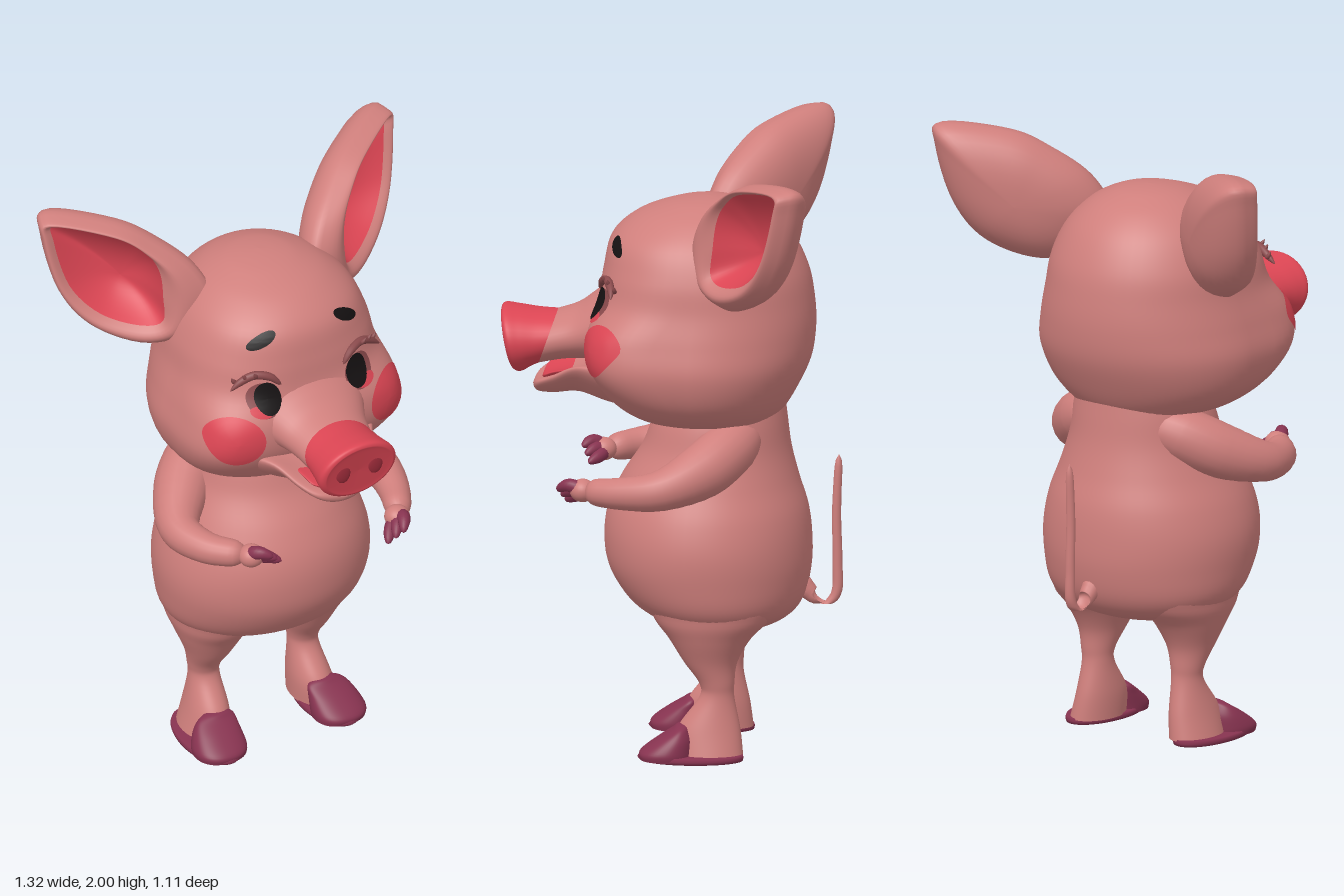
import * as THREE from 'three';

const mat = (name, color) => Object.assign(new THREE.MeshStandardMaterial({ color }), { name });
const V = (x, y, z) => new THREE.Vector3(x, y, z);

// Catmull-Rom through rows of numbers, `n` steps per span
function spline(keys, n = 6) {
  const rows = [], at = i => keys[Math.min(Math.max(i, 0), keys.length - 1)];
  for (let i = 0; i < keys.length - 1; i++)
    for (let k = 0; k < n; k++) {
      const t = k / n;
      rows.push(keys[0].map((_, c) => {
        const a = at(i - 1)[c], b = at(i)[c], d = at(i + 1)[c], e = at(i + 2)[c];
        return b + 0.5 * t * (d - a + t * (2 * a - 5 * b + 4 * d - e + t * (3 * (b - d) + e - a)));
      }));
    }
  rows.push(keys[keys.length - 1]);
  return rows;
}

// Smooth skin over closed rings of equal size
function loft(rings) {
  const n = rings[0].length, pos = [], idx = [];
  for (const r of rings) for (const p of r) pos.push(p.x, p.y, p.z);
  for (let i = 0; i < rings.length - 1; i++)
    for (let j = 0; j < n; j++) {
      const a = i * n + j, b = i * n + (j + 1) % n;
      idx.push(a, b, a + n, b, b + n, a + n);
    }
  const g = new THREE.BufferGeometry();
  g.setAttribute('position', new THREE.Float32BufferAttribute(pos, 3));
  g.setIndex(idx);
  g.computeVertexNormals();
  return g;
}

const loop = (n, f) => Array.from({ length: n }, (_, j) => f(j / n * Math.PI * 2));
const spow = (v, e) => Math.sign(v) * Math.abs(v) ** e;

// Horizontal rings from rows [y, front, back, halfWidth, centreX, frontSquareness]
const upright = rows => loft(rows.map(([y, f, b, rx, cx = 0, sq = 2]) => loop(56, t => {
  const m = b + (f - b) * 0.52, s = Math.sin(t), c = Math.cos(t), e = c > 0 ? 2 / sq : 1;
  return V(cx + Math.max(rx, 0) * spow(s, e), y, m + (c > 0 ? f - m : m - b) * spow(c, e));
})));

// Rings facing forward from rows [z, centreY, halfWidth, halfHeight, shear, liftOfSides]
const forward = rows => loft(rows.map(([z, cy, rx, ry, sh, lift = 0]) => loop(40, t => {
  const dy = ry * Math.sin(t);
  return V(rx * Math.cos(t), cy + dy + lift * Math.cos(t) ** 2, z + sh * dy);
})));

// Tapered tube with rounded ends
function limb(points, radii, n = 40, sides = 20) {
  const curve = new THREE.CatmullRomCurve3(points.map(p => V(...p)));
  const fr = curve.computeFrenetFrames(n), R = spline(radii.map(r => [r]), 12), rings = [];
  for (let i = 0; i <= n; i++) {
    const t = i / n, p = curve.getPoint(t), end = Math.min(i, n - i);
    const r = R[Math.round(t * (R.length - 1))][0] * (end < 3 ? Math.sqrt(1 - (1 - end / 3) ** 2) : 1);
    rings.push(loop(sides, a => p.clone()
      .addScaledVector(fr.normals[i], r * Math.cos(a))
      .addScaledVector(fr.binormals[i], r * Math.sin(a))));
  }
  return loft(rings);
}

function mirror(geo) {
  const g = geo.clone().scale(-1, 1, 1), ix = g.index.array;
  for (let i = 0; i < ix.length; i += 3) [ix[i], ix[i + 1]] = [ix[i + 1], ix[i]];
  g.computeVertexNormals();
  return g;
}

// Head sections, also used to lay the face paint on the surface
const headRows = spline([
  [1.095, -0.1, -0.14, 0, 0, 2], [1.10, 0.08, -0.32, 0.2, 0, 2], [1.13, 0.15, -0.36, 0.29, 0, 2.3],
  [1.2, 0.215, -0.405, 0.36, 0, 3], [1.3, 0.265, -0.45, 0.39, 0, 4], [1.4, 0.27, -0.465, 0.373, 0, 4.1],
  [1.5, 0.238, -0.46, 0.346, 0, 2.8], [1.6, 0.223, -0.44, 0.328, 0, 2.4], [1.7, 0.197, -0.39, 0.283, 0, 2.2],
  [1.77, 0.12, -0.32, 0.21, 0, 2], [1.81, 0.015, -0.24, 0.128, 0, 2], [1.825, -0.06, -0.18, 0.065, 0, 2],
  [1.83, -0.12, -0.12, 0, 0, 2]]);
function headZ(x, y) {
  const i = Math.max(1, headRows.findIndex(r => r[0] >= y)), A = headRows[i - 1], B = headRows[i];
  const [, f, b, rx, , n] = A.map((v, c) => v + (B[c] - v) * (y - A[0]) / (B[0] - A[0]));
  const m = b + (f - b) * 0.52;
  return m + (f - m) * Math.max(0, 1 - Math.abs(x / rx) ** n) ** (1 / n);
}
// Ellipse of paint following the face
const patch = (cx, cy, rx, ry, rot = 0, off = 0.006) => loft(
  [1, 0.85, 0.7, 0.5, 0.3, 0.1, 0].map(s => loop(36, t => {
    const u = rx * s * Math.cos(t), v = ry * s * Math.sin(t);
    const x = cx + u * Math.cos(rot) - v * Math.sin(rot), y = cy + u * Math.sin(rot) + v * Math.cos(rot);
    return V(x, y, headZ(x, y) + off);
  })));

// Ear: a bowl with a thick rolled rim, split into skin and lining
function ear() {
  const ring = pts => new THREE.CatmullRomCurve3(pts.map(([x, y]) => V(x, y, 0)), true, 'catmullrom', 0.5);
  const rim = ring([[0.19, 1.7], [0.23, 1.82], [0.33, 1.915], [0.44, 1.975], [0.62, 1.997], [0.636, 1.92],
    [0.6, 1.73], [0.52, 1.6], [0.38, 1.537], [0.26, 1.58]]);
  const inner = ring([[0.315, 1.73], [0.32, 1.82], [0.35, 1.885], [0.42, 1.94], [0.585, 1.97], [0.595, 1.91],
    [0.56, 1.75], [0.485, 1.655], [0.385, 1.62], [0.32, 1.64]]);
  const N = V(0.62, 0, 0.78), C = V(0.44, 1.74, 0);
  const place = (from, to, s, d) => loop(60, a => {
    const u = a / (Math.PI * 2), get = c => (c.getPoint ? c.getPoint(u) : c);
    const p = get(from).clone().lerp(get(to), s);
    p.z = -0.13 - 0.74 * (p.x - 0.24) - 0.1 * (p.y - 1.75);
    return p.addScaledVector(N, d);
  });
  const steps = Array.from({ length: 11 }, (_, i) => i / 10);
  const lining = steps.map(s => place(C, inner, s, 0.035 - 0.1 * (1 - s * s)));
  const lip = steps.map(s => place(inner, rim, s, 0.035 * (1 - s) + 0.04 * Math.sin(Math.PI * s)));
  const back = steps.slice(1).map(k => {
    const s = Math.cos(k * Math.PI / 2);
    return place(C, rim, s, -0.125 * Math.sqrt(1 - s ** 2.4));
  });
  return { skin: loft([...lip, ...back]), lining: loft(lining) };
}

export function createModel() {
  const root = new THREE.Group();
  root.name = 'pig';
  const skin = mat('pink skin', 0xcf7f7c), red = mat('rosy red', 0xdb4553), hoof = mat('hoof plum', 0x873350);
  const black = mat('black', 0x151112), lash = mat('lash brown', 0x8a4a4c), dark = mat('nostril red', 0x992a38);
  const add = (name, geo, m) => {
    const o = new THREE.Mesh(geo, m);
    o.name = name;
    root.add(o);
  };
  const pair = (name, geo, m) => { add(name + 'Left', geo, m); add(name + 'Right', mirror(geo), m); };
  const ball = (x, y, z, a, b, c) => new THREE.SphereGeometry(1, 28, 18).scale(a, b, c).translate(x, y, z);

  // Torso and head
  add('body', upright(spline([
    [0.395, -0.16, -0.17, 0], [0.40, -0.06, -0.26, 0.13], [0.44, 0.05, -0.37, 0.262], [0.5, 0.14, -0.425, 0.33],
    [0.6, 0.205, -0.45, 0.355], [0.7, 0.222, -0.452, 0.36], [0.8, 0.21, -0.44, 0.338], [0.9, 0.165, -0.41, 0.295],
    [1.0, 0.1, -0.385, 0.255], [1.1, 0.06, -0.372, 0.235], [1.2, 0, -0.36, 0.2]])), skin);
  add('head', upright(headRows), skin);

  // Snout, nose and mouth
  const seam = [0.405, 1.353, 0.127, 0.087, -0.35];
  add('muzzle', forward(spline([[0.1, 1.4, 0.26, 0.17, 0], [0.2, 1.405, 0.215, 0.135, 0],
    [0.265, 1.392, 0.172, 0.107, -0.1], [0.33, 1.372, 0.143, 0.09, -0.25], seam])), skin);
  add('nose', forward(spline([seam, [0.45, 1.348, 0.131, 0.096, -0.15], [0.49, 1.347, 0.137, 0.106, 0.1],
    [0.522, 1.347, 0.141, 0.111, 0.2], [0.537, 1.347, 0.128, 0.1, 0.2], [0.536, 1.347, 0.105, 0.08, 0.2],
    [0.532, 1.347, 0, 0, 0.2]])), red);
  pair('nostril', ball(0.06, 1.352, 0.535, 0.026, 0.034, 0.008), dark);
  add('lowerJaw', forward(spline([[0.05, 1.2, 0.27, 0.085, 0, 0.03], [0.2, 1.215, 0.235, 0.072, 0, 0.06],
    [0.3, 1.215, 0.185, 0.042, 0, 0.07], [0.38, 1.2, 0.142, 0.032, 0, 0.045], [0.43, 1.195, 0.105, 0.025, 0, 0.025],
    [0.448, 1.195, 0.06, 0.015, 0, 0.01], [0.455, 1.195, 0, 0, 0, 0]])), skin);
  add('tongue', forward(spline([[0.22, 1.235, 0.13, 0.02, 0, 0.04], [0.36, 1.23, 0.112, 0.016, 0, 0.03],
    [0.41, 1.222, 0.09, 0.012, 0, 0.02], [0.425, 1.22, 0, 0, 0, 0]])), red);

  // Face paint, eyes and lashes
  pair('cheek', patch(0.281, 1.37, 0.084, 0.085), red);
  pair('eyeRim', patch(0.175, 1.497, 0.056, 0.056, 0, 0.003), lash);
  pair('innerEye', patch(0.195, 1.462, 0.035, 0.018, 0.2, 0.005), red);
  pair('pupil', patch(0.165, 1.503, 0.043, 0.053, 0, 0.007), black);
  pair('brow', patch(0.157, 1.69, 0.053, 0.017, -0.47), black);
  const onFace = (x, y, o) => [x, y, headZ(x, y) + o];
  pair('upperLash', limb([onFace(0.115, 1.54, 0.005), onFace(0.15, 1.575, 0.008), onFace(0.2, 1.585, 0.012),
    onFace(0.245, 1.565, 0.025), onFace(0.28, 1.54, 0.05)], [0.007, 0.013, 0.014, 0.012, 0.004], 24, 10), lash);
  for (const [x, y] of [[0.19, 1.58], [0.22, 1.573], [0.25, 1.557]])
    pair('lashHair', limb([onFace(x, y, 0.012), onFace(x + 0.012, y + 0.012, 0.03),
      onFace(x + 0.02, y + 0.026, 0.045)], [0.008, 0.007, 0.002], 10, 8), lash);

  // Ears
  const e = ear();
  pair('ear', e.skin, skin);
  pair('earLining', e.lining, red);

  // Legs and hooves
  for (const [side, s] of [['Left', 1], ['Right', -1]]) {
    add('leg' + side, upright(spline([[0.015, -0.02, -0.245, 0.075, s * 0.205], [0.1, -0.03, -0.235, 0.066, s * 0.192],
      [0.2, -0.1, -0.215, 0.051, s * 0.185], [0.25, -0.1, -0.215, 0.055, s * 0.185], [0.32, -0.05, -0.225, 0.076, s * 0.183],
      [0.4, 0, -0.27, 0.112, s * 0.18], [0.47, 0.05, -0.335, 0.138, s * 0.176], [0.55, 0.06, -0.35, 0.143, s * 0.163],
      [0.64, -0.1, -0.2, 0, s * 0.15]])), skin);
    add('toe' + side, upright(spline([[0.005, 0.09, -0.085, 0.088, s * 0.222, 2.3], [0.03, 0.088, -0.085, 0.09, s * 0.222, 2.3],
      [0.07, 0.035, -0.085, 0.079, s * 0.215, 2.3], [0.1, -0.012, -0.075, 0.064, s * 0.205, 2], [0.114, -0.03, -0.07, 0.035, s * 0.2, 2],
      [0.118, -0.05, -0.05, 0, s * 0.2, 2]])), hoof);
    add('sole' + side, upright([[0, -0.07, -0.08, 0, s * 0.222], [0, 0.09, -0.245, 0.088, s * 0.222],
      [0.01, 0.098, -0.248, 0.092, s * 0.222], [0.02, 0.09, -0.245, 0.088, s * 0.222],
      [0.021, -0.07, -0.08, 0, s * 0.222]]), hoof);
  }

  // Arms and trotter fingers, the two posed a little differently
  const arms = [
    ['Left', [[0.11, 1.07, -0.25], [0.2, 1.035, -0.2], [0.295, 0.978, -0.115], [0.37, 0.93, 0.01], [0.355, 0.914, 0.14], [0.305, 0.908, 0.26]], [0.245, 0.88, 0.345]],
    ['Right', [[-0.11, 1.07, -0.25], [-0.2, 1.035, -0.2], [-0.295, 0.978, -0.115], [-0.37, 0.93, 0.01], [-0.34, 0.918, 0.13], [-0.25, 0.92, 0.235]], [-0.17, 0.915, 0.3]]];
  for (const [side, path, tip] of arms) {
    const w = path[5], s = Math.sign(w[0]);
    add('arm' + side, limb(path, [0.07, 0.09, 0.09, 0.067, 0.053, 0.043]), skin);
    add('hand' + side, ball(w[0] - s * 0.012, w[1], w[2] + 0.01, 0.042, 0.038, 0.042), skin);
    for (let k = -1; k <= 1; k++)
      add('finger' + side, limb([w, [(w[0] + tip[0]) / 2 + s * k * 0.018, (w[1] + tip[1]) / 2 + k * 0.02 + 0.01, (w[2] + tip[2]) / 2 + k * 0.012],
        [tip[0] + s * k * 0.022, tip[1] + k * 0.022, tip[2] + k * 0.012]], [0.024, 0.022, 0.012], 14, 12), hoof);
  }

  // Tail
  add('tail', limb([[0, 0.55, -0.41], [0, 0.505, -0.455], [0, 0.478, -0.5], [0, 0.51, -0.53], [0, 0.62, -0.535],
    [0, 0.78, -0.532], [0, 0.975, -0.54]], [0.035, 0.027, 0.021, 0.018, 0.016, 0.015, 0.013], 60, 14), skin);
  return root;
}
